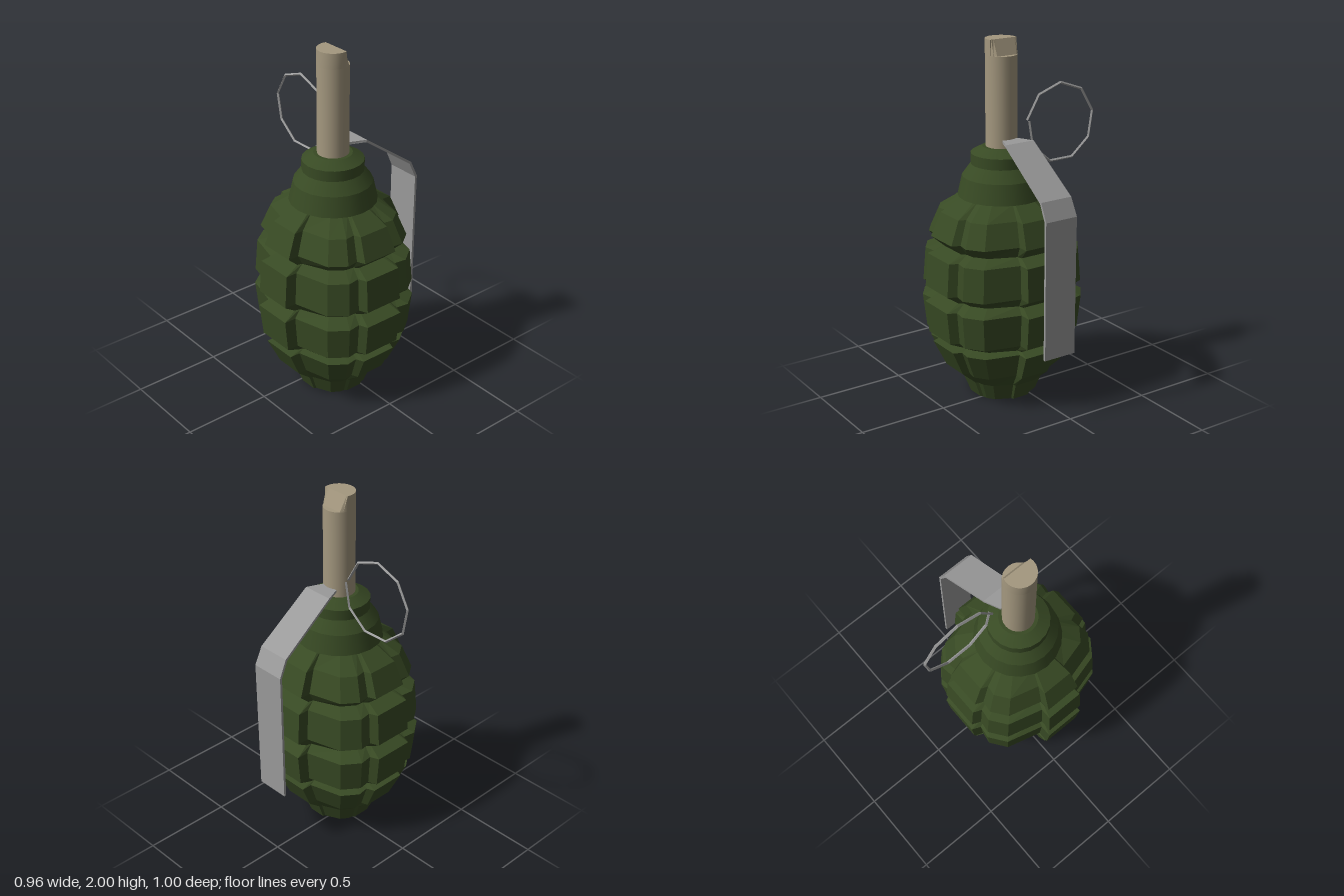
import * as THREE from 'three';
import { toCreasedNormals } from 'three/addons/utils/BufferGeometryUtils.js';

const CX = -0.055, CZ = 0.07; // axis of the body

export function createModel() {
  const group = new THREE.Group();
  const material = (name, color, flatShading = false) => {
    const m = new THREE.MeshStandardMaterial({ color, flatShading });
    m.name = name;
    return m;
  };
  const green = material('olive green', 0x384a24);
  const metal = material('grey metal', 0x9a9a9a);
  const tan = material('tan', 0xa4987f);
  const add = (name, geometry, mat, x = 0, y = 0, z = 0) => {
    const mesh = new THREE.Mesh(geometry, mat);
    mesh.name = name;
    mesh.position.set(x, y, z);
    group.add(mesh);
    return mesh;
  };

  // Segmented body: a lobed outline, mirrored from one quadrant, scaled up the height
  const quadrant = [[0.115, 0.43], [0.135, 0.38], [0.207, 0.39], [0.302, 0.32], [0.357, 0.115], [0.425, 0.115]];
  const flipped = [...quadrant].reverse();
  const outline = [
    ...quadrant,
    ...flipped.map(([x, z]) => [x, -z]),
    ...quadrant.map(([x, z]) => [-x, -z]),
    ...flipped.map(([x, z]) => [-x, z]),
  ];
  // height, radius, roundness
  const rings = [
    [0, 0.185, 0.6], [0.1, 0.225, 0.6],
    [0.185, 0.315, 0], [0.335, 0.385, 0], [0.345, 0.32, 0.5],
    [0.395, 0.405, 0], [0.58, 0.425, 0], [0.615, 0.35, 0.5],
    [0.67, 0.42, 0], [0.855, 0.405, 0], [0.885, 0.32, 0.5],
    [0.95, 0.385, 0], [1.08, 0.33, 0], [1.15, 0.225, 0.5],
  ].map(([y, r, round]) => outline.map(([x, z]) => {
    const k = THREE.MathUtils.lerp(r / 0.425, r / Math.hypot(x, z), round);
    return [x * k, y, z * k];
  }));
  const pos = [], n = outline.length;
  for (let i = 0; i < n; i++) {
    const j = (i + 1) % n;
    for (let k = 0; k < rings.length - 1; k++) {
      const a = rings[k], b = rings[k + 1];
      pos.push(...a[i], ...a[j], ...b[j], ...a[i], ...b[j], ...b[i]);
    }
    const top = rings[rings.length - 1];
    pos.push(0, 0, 0, ...rings[0][j], ...rings[0][i]);
    pos.push(0, 1.15, 0, ...top[i], ...top[j]);
  }
  const body = new THREE.BufferGeometry();
  body.setAttribute('position', new THREE.Float32BufferAttribute(pos, 3));
  body.computeVertexNormals();
  add('segmentedBody', body, green, CX, 0, CZ);

  // Stepped collar on top of the body
  const collar = [[1.15, 0.24], [1.26, 0.215], [1.325, 0.168], [1.385, 0.168], [1.42, 0.105]];
  for (let i = 0; i < collar.length - 1; i++) {
    const [y0, r0] = collar[i], [y1, r1] = collar[i + 1];
    add('collarBand', new THREE.CylinderGeometry(r1, r0, y1 - y0, 20), green, CX, (y0 + y1) / 2, CZ);
  }

  // Fuse tube, its top cut away by a slanted notch
  add('fuseTube', new THREE.CylinderGeometry(0.086, 0.086, 0.525, 24), tan, CX, 1.6525, CZ);
  const tip = new THREE.CylinderGeometry(0.086, 0.086, 0.085, 24);
  const tp = tip.attributes.position;
  for (let i = 0; i < tp.count; i++) {
    tp.setX(i, Math.min(tp.getX(i), tp.getY(i) > 0 ? 0.02 : 0.055));
  }
  add('fuseTip', toCreasedNormals(tip, 0.5), tan, CX, 1.9575, CZ);

  // Safety lever: a bent strip that widens away from the fuse
  // x, y, back z, front z, normal x, normal y
  const stations = [
    [0.02, 1.468, 0.015, 0.115, 0, 1],
    [0.11, 1.468, -0.025, 0.152, 0.3, 0.95],
    [0.432, 1.237, -0.036, 0.154, 0.75, 0.66],
    [0.478, 1.14, -0.04, 0.155, 0.97, 0.24],
    [0.473, 0.37, -0.04, 0.152, 1, 0],
  ];
  const lever = new THREE.BoxGeometry(1, 1, 1, 4, 1, 1);
  const lp = lever.attributes.position;
  for (let i = 0; i < lp.count; i++) {
    const [x, y, back, front, nx, ny] = stations[Math.round((lp.getX(i) + 0.5) * 4)];
    const depth = lp.getY(i) > 0 ? 0 : 0.014;
    lp.setXYZ(i, x - nx * depth, y - ny * depth, lp.getZ(i) > 0 ? front : back);
  }
  add('safetyLever', toCreasedNormals(lever, 0.1), metal);

  // Pull ring: nine straight sides, ends slightly apart
  class RingCurve extends THREE.Curve {
    getPoint(t, target = new THREE.Vector3()) {
      const a = Math.PI * (1 / 18 + 2 * t);
      return target.set(0.002 + 0.02 * t, 1.513 + 0.219 * Math.sin(a), -0.273 + 0.219 * Math.cos(a));
    }
  }
  const ring = new THREE.TubeGeometry(new RingCurve(), 9, 0.008, 4);
  add('pullRing', toCreasedNormals(ring, 0.3), metal);

  return group;
}
